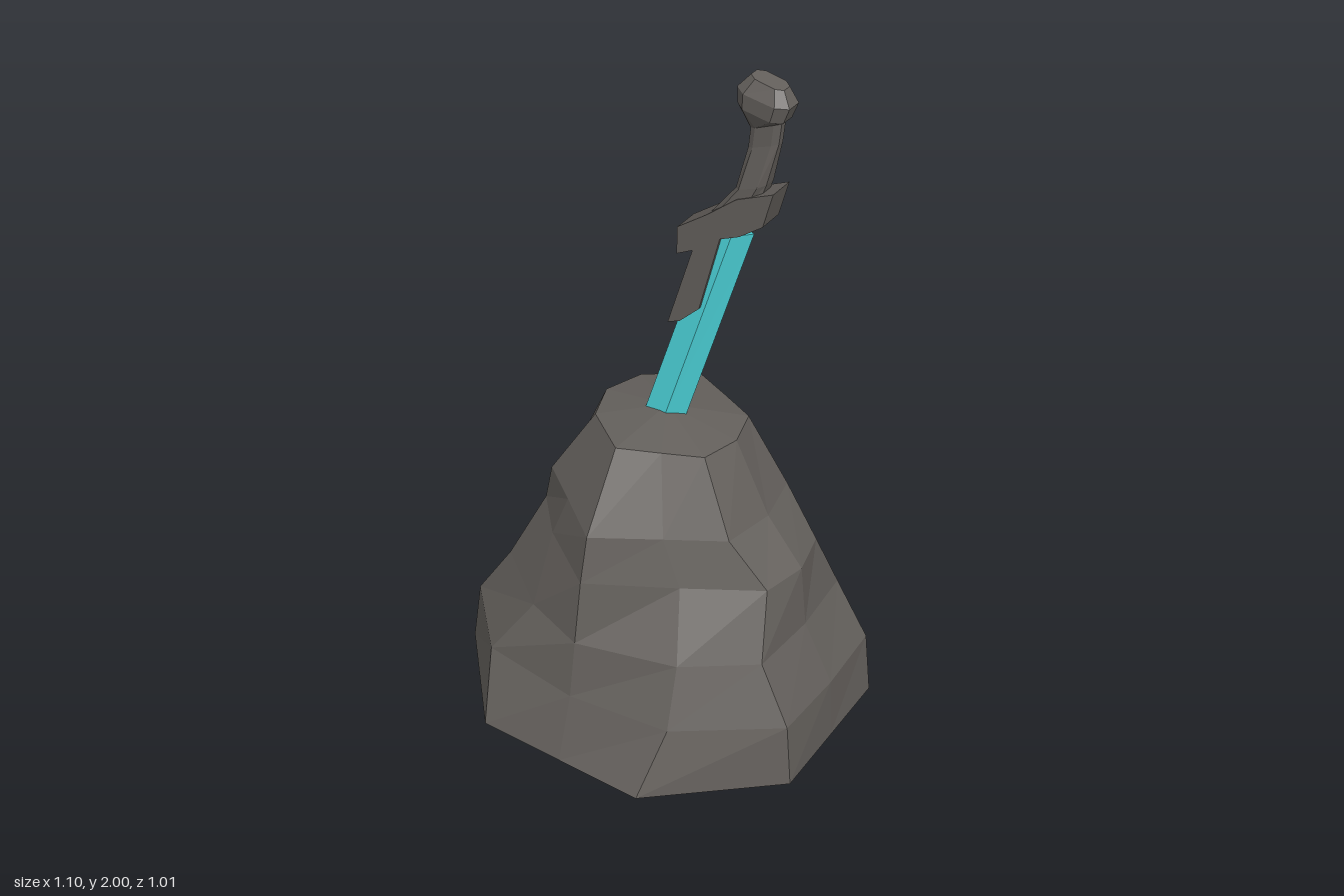
import * as THREE from 'three';

const stone = new THREE.MeshStandardMaterial({ color: 0x64605c });
stone.name = 'dark stone';
stone.flatShading = true;
const crystal = new THREE.MeshStandardMaterial({ color: 0x4dd6dc });
crystal.name = 'cyan blade';
crystal.flatShading = true;

// Skin a stack of rings (bottom to top, each running +x, +z, -x, -z) and cap both ends
function loft(rings, lift = 0) {
  const pos = [];
  const tri = (...pts) => pts.forEach(p => pos.push(...p));
  const n = rings[0].length;
  const centre = r => [0, 1, 2].map(k => r.reduce((s, p) => s + p[k], 0) / n);
  const bottom = rings[0], top = rings[rings.length - 1];
  const c0 = centre(bottom), c1 = centre(top);
  c1[1] += lift;
  for (let i = 0; i < n; i++) {
    const j = (i + 1) % n;
    for (let k = 0; k < rings.length - 1; k++) {
      const a = rings[k], b = rings[k + 1];
      tri(a[i], b[i], a[j]);
      tri(a[j], b[i], b[j]);
    }
    tri(c0, bottom[i], bottom[j]);
    tri(c1, top[j], top[i]);
  }
  const g = new THREE.BufferGeometry();
  g.setAttribute('position', new THREE.Float32BufferAttribute(pos, 3));
  g.computeVertexNormals();
  return g;
}

function part(name, geometry, material) {
  const m = new THREE.Mesh(geometry, material);
  m.name = name;
  return m;
}

// Boulder: half-rings of [x, z] from +x to -x, mirrored in z
function makeRock() {
  const levels = [
    [0, [[.55, 0], [.55, .225], [.225, .505], [-.035, .505], [-.295, .505], [-.55, .225], [-.55, 0]]],
    [.2, [[.54, 0], [.53, .22], [.265, .41], [-.033, .445], [-.333, .41], [-.52, .22], [-.525, 0]]],
    [.375, [[.45, 0], [.435, .205], [.25, .34], [-.033, .415], [-.22, .35], [-.41, .205], [-.41, 0]]],
    [.565, [[.43, 0], [.4, .13], [.2, .25], [-.033, .38], [-.22, .25], [-.33, .13], [-.36, 0]]],
    [.7, [[.32, 0], [.29, .15], [.14, .24], [-.033, .345], [-.17, .24], [-.29, .15], [-.3, 0]]],
    [.91, [[.215, 0], [.185, .11], [.08, .157], [-.033, .205], [-.1, .157], [-.165, .11], [-.205, 0]]],
  ];
  return loft(levels.map(([y, half]) => {
    const back = half.slice(1, -1).reverse().map(([x, z]) => [x, -z]);
    return [...half, ...back].map(([x, z]) => [x, y, z]);
  }), .03);
}

// Leaning blade: flat back edge, flat sides and a wedge-shaped cutting edge
function makeBlade() {
  const section = [[.058, 0], [.01, .03], [-.053, .03], [-.053, -.03], [.01, -.03]];
  return loft([.9, 1.55].map(y =>
    section.map(([x, z]) => [x + (y - .937) * .315, y + (y > 1 ? x * .2 : 0), z])));
}

// Jagged crossguard with a long tongue running down the blade
function makeGuard() {
  const outline = [
    [.05, 1.534], [.048, 1.455], [.095, 1.48], [.021, 1.238], [.058, 1.254], [.116, 1.312],
    [.175, 1.54], [.23, 1.565], [.296, 1.614], [.323, 1.714], [.22, 1.667], [.137, 1.598],
  ];
  const shape = new THREE.Shape(outline.map(p => new THREE.Vector2(...p)));
  const g = new THREE.ExtrudeGeometry(shape, { depth: .076, bevelEnabled: false });
  return g.translate(0, 0, -.038);
}

// Chamfered sections between a left and a right point: [lx, ly, rx, ry, half depth]
function makeHandle(sections) {
  const profile = [[1, .5], [.6, 1], [-.6, 1], [-1, .5], [-1, -.5], [-.6, -1], [.6, -1], [1, -.5]];
  return loft(sections.map(([lx, ly, rx, ry, d]) => profile.map(([u, v]) => {
    const t = (u + 1) / 2;
    return [lx + (rx - lx) * t, ly + (ry - ly) * t, v * d];
  })));
}

export function createModel() {
  const model = new THREE.Group();
  model.name = 'swordInStone';
  model.add(part('rock', makeRock(), stone));

  const sword = new THREE.Group();
  sword.name = 'sword';
  const neck = [.238, 1.857, .323, 1.894, .018];
  sword.add(
    part('blade', makeBlade(), crystal),
    part('crossguard', makeGuard(), stone),
    part('grip', makeHandle([
      [.137, 1.598, .275, 1.672, .036],
      [.206, 1.688, .291, 1.72, .034],
      [.233, 1.804, .317, 1.836, .018],
      neck,
    ]), stone),
    part('pommel', makeHandle([
      neck,
      [.206, 1.921, .333, 1.9, .04],
      [.206, 1.963, .349, 1.942, .043],
      [.238, 2, .328, 1.982, .026],
    ]), stone),
  );
  model.add(sword);
  return model;
}
